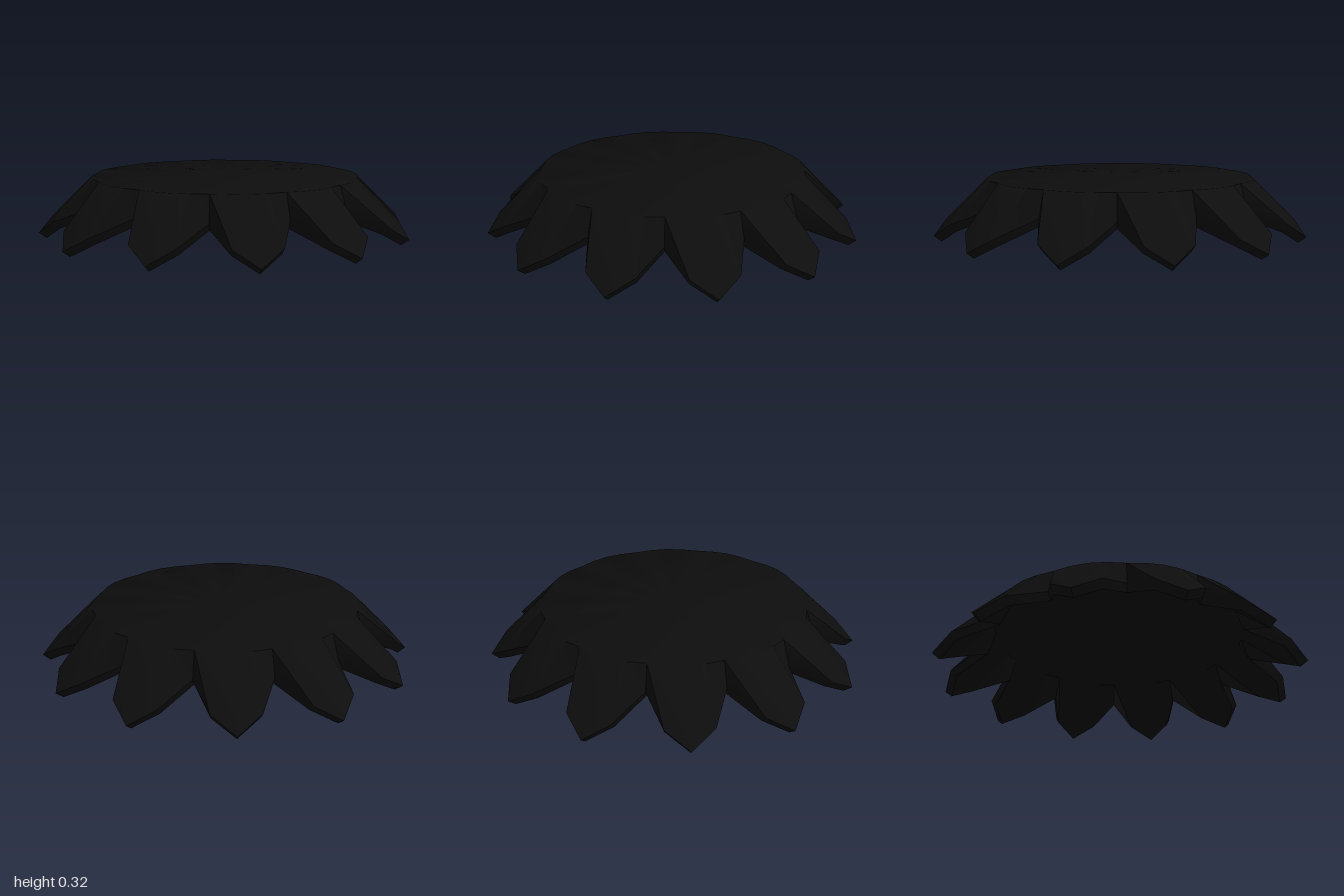
import * as THREE from 'three';
import { toCreasedNormals } from 'three/addons/utils/BufferGeometryUtils.js';

const PETALS = 12;

// One petal's columns: angle offset, then [radius, height] of the flat top's rim,
// the outer edge and the edge's underside.
const columns = [
  { angle: -15, rim: 0.705, edge: [0.745, 0.185], under: [0.715, 0.15] },   // valley
  { angle: -7.4, rim: 0.715, edge: [0.933, 0.105], under: [0.895, 0.07] },  // shoulder
  { angle: 0, rim: 0.72, edge: [1.0, 0.03], under: [0.96, 0.0] },           // tip
  { angle: 7.4, rim: 0.715, edge: [0.933, 0.105], under: [0.895, 0.07] },   // shoulder
];

// Profile of a column, from the top centre over the edge to the bottom centre
function profile({ rim, edge, under }) {
  return [[0, 0.32], [rim, 0.32], edge, under, [rim - 0.03, 0.27], [0, 0.27]];
}

function petalShell() {
  const positions = [];
  const index = [];
  const rings = 6;
  const count = PETALS * columns.length;

  for (let j = 0; j < count; j++) {
    const column = columns[j % columns.length];
    const turn = Math.floor(j / columns.length) * (360 / PETALS);
    const a = THREE.MathUtils.degToRad(turn + column.angle);
    for (const [r, y] of profile(column)) {
      positions.push(r * Math.sin(a), y, r * Math.cos(a));
    }
  }

  for (let j = 0; j < count; j++) {
    const here = j * rings;
    const next = ((j + 1) % count) * rings;
    for (let i = 0; i < rings - 1; i++) {
      const a = here + i, b = here + i + 1, c = next + i + 1, d = next + i;
      if (i < rings - 2) index.push(a, b, c);
      if (i > 0) index.push(a, c, d);
    }
  }

  const geometry = new THREE.BufferGeometry();
  geometry.setAttribute('position', new THREE.Float32BufferAttribute(positions, 3));
  geometry.setIndex(index);
  return toCreasedNormals(geometry, THREE.MathUtils.degToRad(50));
}

export function createModel() {
  const black = new THREE.MeshStandardMaterial({ color: 0x0d0d0d });
  black.name = 'black';

  const model = new THREE.Group();
  model.name = 'petalCap';

  const shell = new THREE.Mesh(petalShell(), black);
  shell.name = 'petalShell';
  model.add(shell);
  return model;
}
